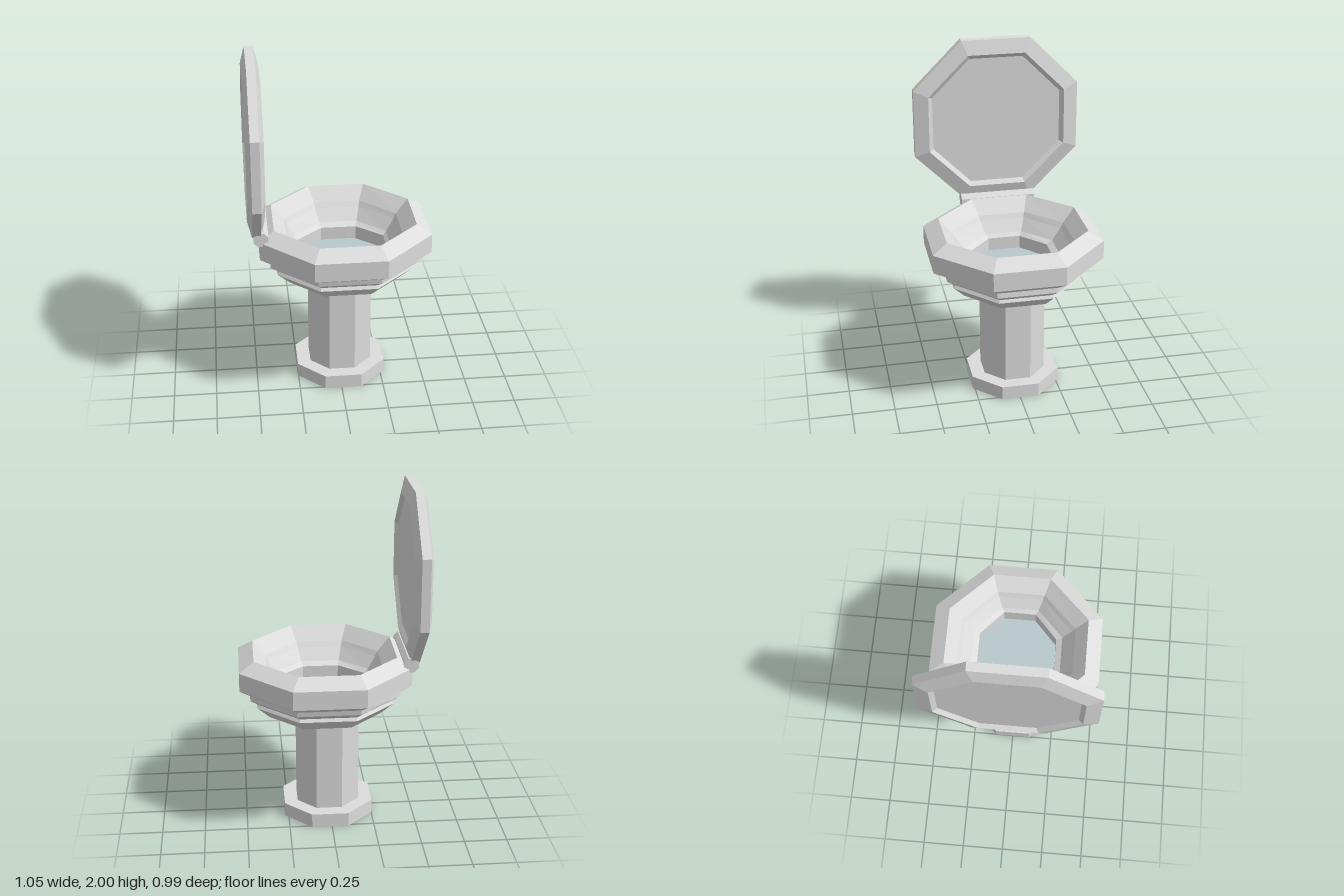
import * as THREE from 'three';

const SIDES = 8;
const STEP = (Math.PI * 2) / SIDES;

// Flat-faced octagonal loft; each ring is [half width x, half width z, y], listed from top down the outside
function loft(rings) {
  const point = ([ax, az, y], k) => {
    const t = (k + 0.5) * STEP;
    const r = 1 / Math.cos(STEP / 2);
    return [ax * r * Math.cos(t), y, -az * r * Math.sin(t)];
  };
  const pos = [];
  for (let i = 0; i < rings.length - 1; i++) {
    for (let k = 0; k < SIDES; k++) {
      const a = point(rings[i], k);
      const b = point(rings[i + 1], k);
      const c = point(rings[i + 1], k + 1);
      const d = point(rings[i], k + 1);
      if (rings[i + 1][0] > 0) pos.push(...a, ...b, ...c);
      if (rings[i][0] > 0) pos.push(...a, ...c, ...d);
    }
  }
  const geo = new THREE.BufferGeometry();
  geo.setAttribute('position', new THREE.Float32BufferAttribute(pos, 3));
  geo.computeVertexNormals();
  return geo;
}

// Closed octagonal prism
const prism = (a, y0, y1) => loft([[0, 0, y1], [a, a, y1], [a, a, y0], [0, 0, y0]]);

export function createModel() {
  const group = new THREE.Group();
  const ceramic = new THREE.MeshStandardMaterial({ color: 0xdcdcdc });
  ceramic.name = 'ceramic';
  const waterBlue = new THREE.MeshStandardMaterial({ color: 0xb8c8cc, side: THREE.DoubleSide });
  waterBlue.name = 'water blue';

  const add = (name, geo, mat, x = 0, y = 0) => {
    const mesh = new THREE.Mesh(geo, mat);
    mesh.name = name;
    mesh.position.set(x, y, 0);
    group.add(mesh);
    return mesh;
  };

  // Foot and column
  add('foot', prism(0.262, 0, 0.083), ceramic, 0.01);
  add('column', prism(0.183, 0.083, 0.74), ceramic, 0.01);

  // Stepped bowl: outside down, under the lip, then up the inside
  add('bowl', loft([
    [0.41, 0.41, 1.03],
    [0.495, 0.495, 0.975],
    [0.495, 0.495, 0.865],
    [0.43, 0.42, 0.82],
    [0.434, 0.415, 0.79],
    [0.385, 0.365, 0.753],
    [0.394, 0.376, 0.735],
    [0.323, 0.31, 0.665],
    [0.255, 0.23, 0.665],
    [0.255, 0.23, 0.83],
    [0.275, 0.266, 0.85],
    [0.32, 0.32, 0.92],
    [0.335, 0.34, 0.95],
    [0.41, 0.41, 1.03],
  ]), ceramic, 0.03);

  // Water surface
  add('water', loft([[0, 0, 0.752], [0.25, 0.228, 0.752]]), waterBlue, 0.025);

  // Raised lid with a recessed panel on both faces
  const half = [[0.385, 0.028], [0.41, 0.05], [0.495, 0.025]];
  const lidRings = [
    [0, 0, 0.028],
    ...half.map(([a, h]) => [a, a, h]),
    ...half.slice().reverse().map(([a, h]) => [a, a, -h]),
    [0, 0, -0.028],
  ];
  const lid = add('lid', loft(lidRings), ceramic, -0.48, 1.505);
  lid.rotation.z = Math.PI / 2;

  // Hinge bar
  const hinge = add('hinge', prism(0.042, -0.225, 0.225), ceramic, -0.455, 1.0);
  hinge.rotation.x = Math.PI / 2;

  return group;
}
